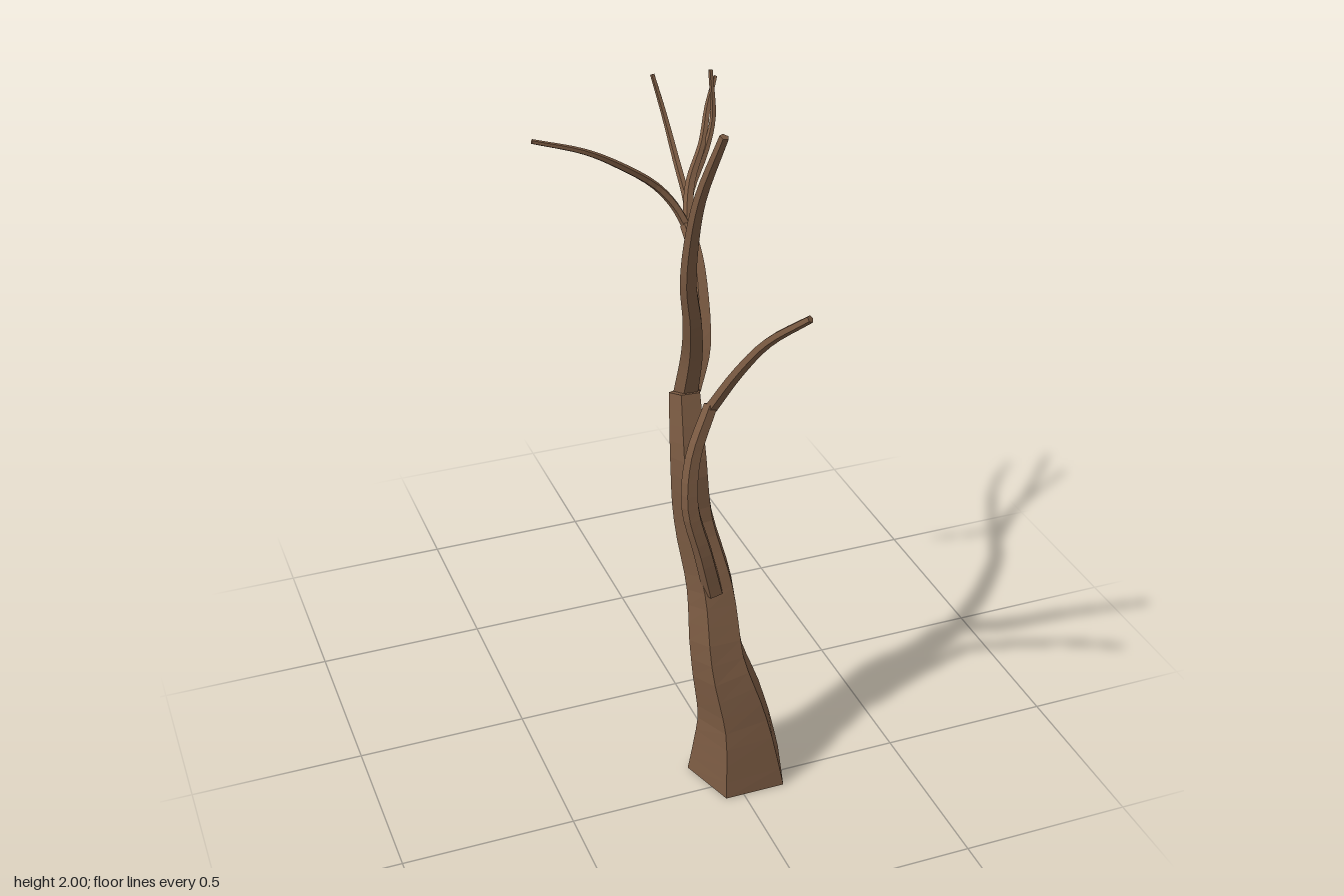
import * as THREE from 'three';

const SIDES = 5;
const STEPS = 4; // rings per control point
const UP = new THREE.Vector3(0, 1, 0);

// Five-sided tapering limb swept through points [x, y, z, radius], capped at both ends
function limb(name, pts, material, flatBase = false) {
  const curve = new THREE.CatmullRomCurve3(pts.map(([x, y, z]) => new THREE.Vector3(x, y, z)));
  const rings = (pts.length - 1) * STEPS;
  const pos = [];
  const index = [];
  const q = new THREE.Quaternion();
  for (let i = 0; i <= rings; i++) {
    const t = i / rings;
    const k = Math.min(Math.floor(i / STEPS), pts.length - 2);
    const r = THREE.MathUtils.lerp(pts[k][3], pts[k + 1][3], i / STEPS - k);
    const c = curve.getPoint(t);
    if (flatBase && i === 0) q.identity();
    else q.setFromUnitVectors(UP, curve.getTangent(t));
    for (let j = 0; j < SIDES; j++) {
      const a = (j / SIDES) * Math.PI * 2;
      const v = new THREE.Vector3(Math.sin(a) * r, 0, -Math.cos(a) * r).applyQuaternion(q).add(c);
      pos.push(v.x, v.y, v.z);
    }
  }
  for (let i = 0; i < rings; i++) {
    for (let j = 0; j < SIDES; j++) {
      const a = i * SIDES + j;
      const b = i * SIDES + ((j + 1) % SIDES);
      index.push(b, a, a + SIDES, b, a + SIDES, b + SIDES);
    }
  }
  const top = rings * SIDES;
  for (let j = 1; j < SIDES - 1; j++) {
    index.push(0, j, j + 1, top, top + j + 1, top + j);
  }
  const geometry = new THREE.BufferGeometry();
  geometry.setAttribute('position', new THREE.Float32BufferAttribute(pos, 3));
  geometry.setIndex(index);
  geometry.computeVertexNormals();
  const mesh = new THREE.Mesh(geometry, material);
  mesh.name = name;
  return mesh;
}

export function createModel() {
  const tree = new THREE.Group();
  tree.name = 'bareTree';
  const bark = new THREE.MeshStandardMaterial({ color: 0x7a5a42, flatShading: true });
  const add = (name, pts, flatBase) => tree.add(limb(name, pts, bark, flatBase));

  // Leaning trunk, flared at the foot
  add('trunk', [
    [0.035, 0, 0.44, 0.152], [0.022, 0.2, 0.433, 0.11], [-0.018, 0.4, 0.405, 0.083],
    [-0.02, 0.6, 0.345, 0.072], [-0.05, 0.8, 0.288, 0.06], [-0.062, 1.0, 0.277, 0.055],
    [-0.055, 1.175, 0.226, 0.047],
  ], true);

  // Tall upright branch
  add('uprightBranch', [
    [-0.05, 1.16, 0.215, 0.036], [-0.045, 1.3, 0.25, 0.032], [-0.06, 1.42, 0.292, 0.028],
    [-0.083, 1.55, 0.32, 0.024], [-0.085, 1.68, 0.345, 0.021], [-0.075, 1.82, 0.38, 0.017],
    [-0.035, 2.0, 0.435, 0.013],
  ]);

  // Bough reaching to the back, forking into four twigs
  add('backBough', [
    [-0.04, 1.175, 0.225, 0.032], [0.025, 1.255, 0.14, 0.029], [0.07, 1.38, 0.01, 0.024],
    [0.085, 1.45, -0.07, 0.021], [0.088, 1.495, -0.145, 0.019],
  ]);
  add('sideTwig', [
    [0.09, 1.485, -0.135, 0.014], [0.06, 1.55, -0.167, 0.013], [0.01, 1.61, -0.185, 0.012],
    [-0.1, 1.69, -0.182, 0.011], [-0.2, 1.745, -0.182, 0.009], [-0.345, 1.79, -0.198, 0.007],
  ]);
  add('lowTwig', [
    [0.09, 1.487, -0.14, 0.014], [0.14, 1.503, -0.275, 0.012], [0.157, 1.58, -0.41, 0.011],
    [0.153, 1.69, -0.5, 0.009], [0.133, 1.8, -0.545, 0.007],
  ]);
  add('longTwig', [
    [0.09, 1.49, -0.14, 0.016], [0.14, 1.573, -0.25, 0.015], [0.215, 1.645, -0.35, 0.012],
    [0.275, 1.71, -0.46, 0.01], [0.337, 1.76, -0.56, 0.007],
  ]);
  add('risingTwig', [
    [0.09, 1.49, -0.14, 0.015], [0.14, 1.545, -0.25, 0.013], [0.22, 1.63, -0.335, 0.011],
    [0.26, 1.71, -0.38, 0.009], [0.267, 1.84, -0.42, 0.007],
  ]);

  // Front branch bowing out from mid trunk, then a thinner end
  add('frontBranch', [
    [-0.033, 0.61, 0.392, 0.03], [-0.065, 0.75, 0.393, 0.028], [-0.098, 0.9, 0.378, 0.026],
    [-0.08, 1.04, 0.352, 0.023], [-0.018, 1.175, 0.322, 0.02],
  ]);
  add('frontTwig', [
    [-0.018, 1.17, 0.325, 0.018], [0.035, 1.3, 0.385, 0.016], [0.09, 1.41, 0.45, 0.014],
    [0.165, 1.512, 0.547, 0.011],
  ]);

  return tree;
}
